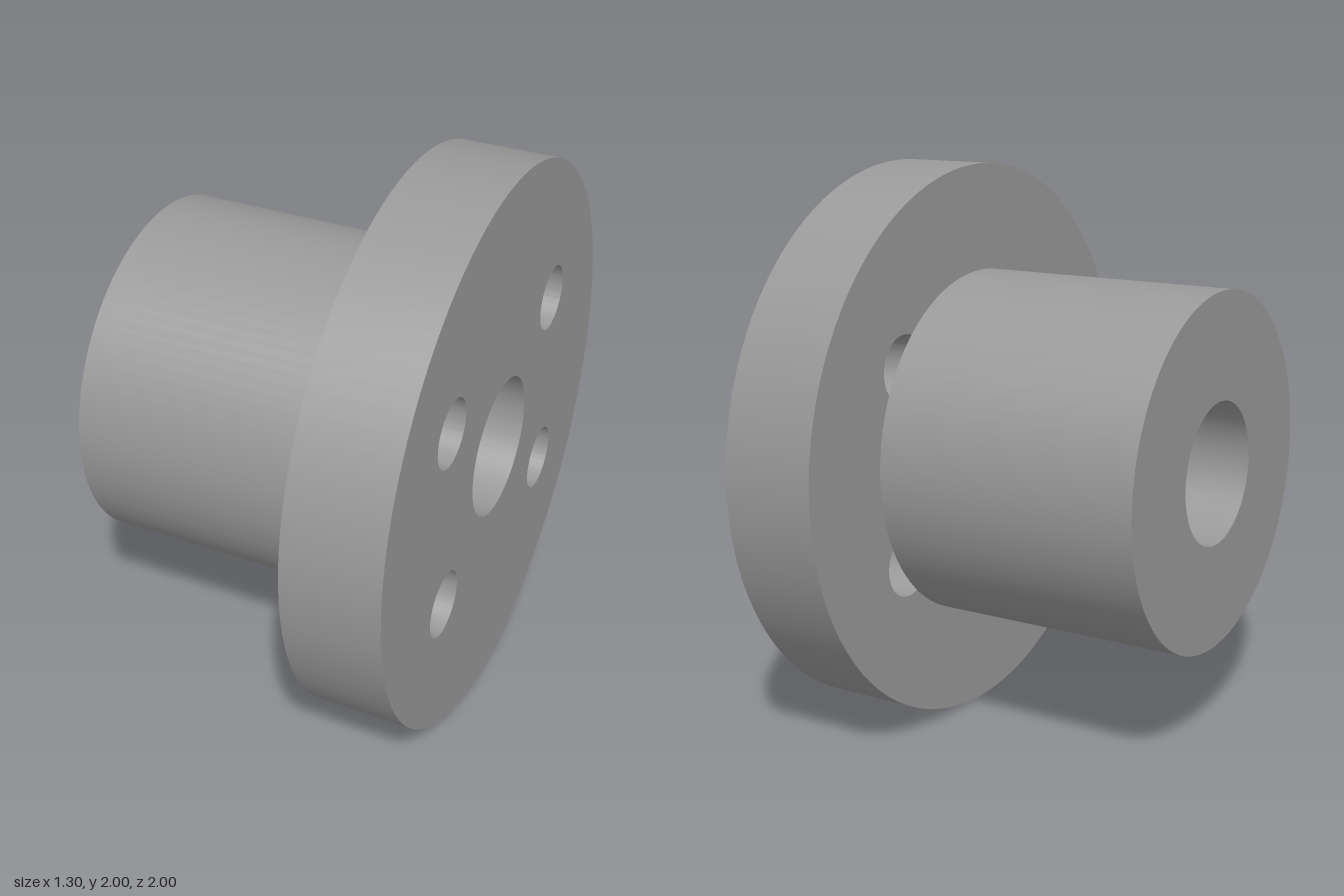
import * as THREE from 'three';
import { toCreasedNormals } from 'three/addons/utils/BufferGeometryUtils.js';

const BORE_RADIUS = 0.25;

// Round disc along x from x0 to x1, pierced by circular holes [z, y, radius]
function piercedDisc(name, radius, x0, x1, holes, material) {
  const shape = new THREE.Shape().absarc(0, 0, radius, 0, Math.PI * 2, false);
  for (const [z, y, r] of holes) {
    shape.holes.push(new THREE.Path().absarc(z, y, r, 0, Math.PI * 2, true));
  }
  const extruded = new THREE.ExtrudeGeometry(shape, {
    depth: x1 - x0,
    bevelEnabled: false,
    curveSegments: 48,
  });
  extruded.rotateY(Math.PI / 2);
  extruded.translate(x0, 1, 0);
  const mesh = new THREE.Mesh(toCreasedNormals(extruded, 0.6), material);
  mesh.name = name;
  return mesh;
}

export function createModel() {
  const group = new THREE.Group();
  group.name = 'flangedBushing';
  const steel = new THREE.MeshStandardMaterial({ color: 0x999999 });
  steel.name = 'grey steel';

  const bore = [0, 0, BORE_RADIUS];

  // Four bolt holes in a rectangular pattern, partly backed by the hub
  const boltHoles = [];
  for (const z of [-0.47, 0.47]) {
    for (const y of [-0.345, 0.345]) boltHoles.push([z, y, 0.118]);
  }

  group.add(
    piercedDisc('flange', 1, 0.305, 0.648, [bore, ...boltHoles], steel),
    piercedDisc('hub', 0.624, -0.648, 0.305, [bore], steel),
  );
  return group;
}
